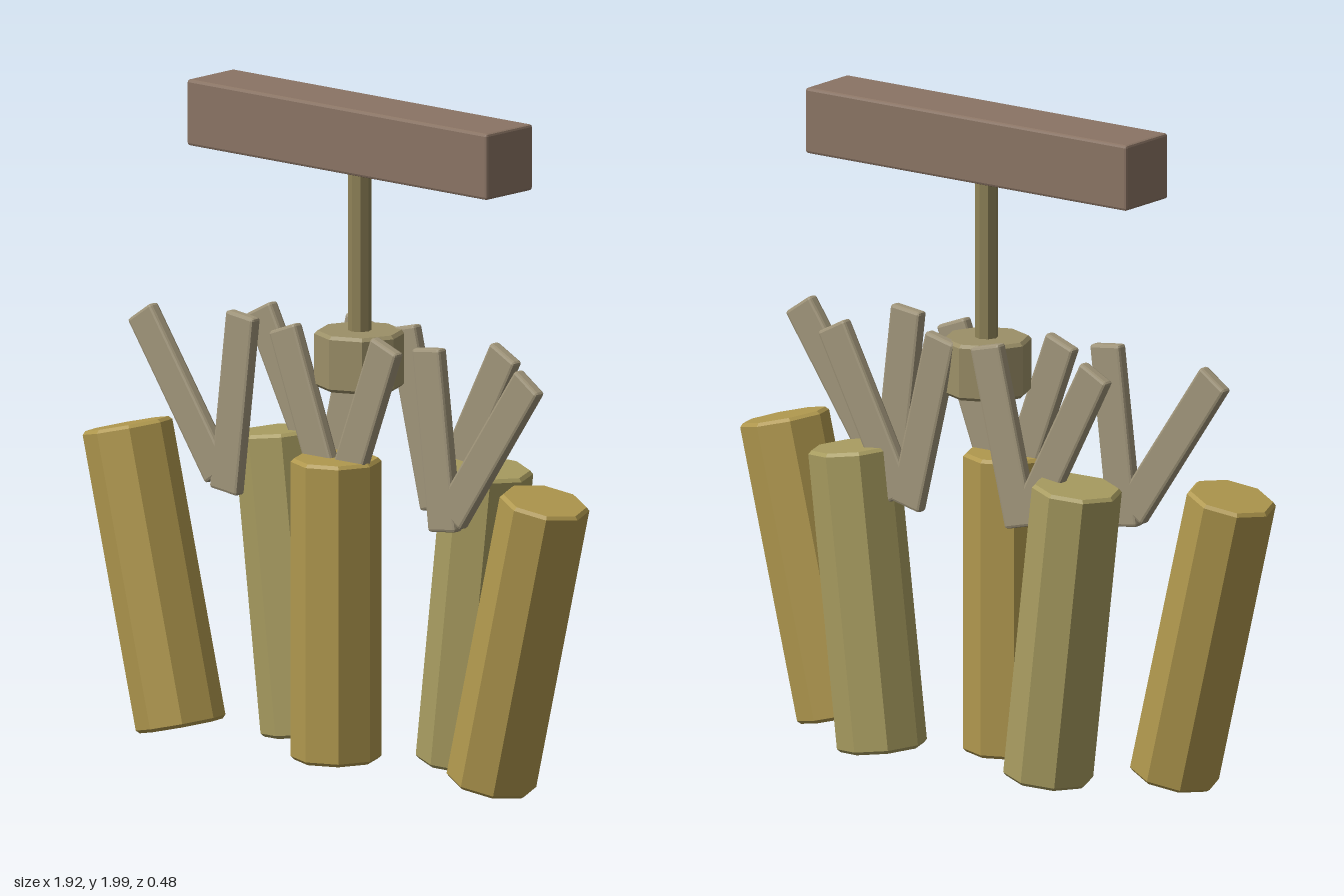
import * as THREE from 'three';
import { RoundedBoxGeometry } from 'three/addons/geometries/RoundedBoxGeometry.js';

const material = (color) => new THREE.MeshStandardMaterial({ color, flatShading: true });

// Octagonal column with a small bevel at both rims, centred on its origin
function octagonColumn(radius, height, bevel) {
  const h = height / 2;
  const profile = [
    [0, -h], [radius - bevel, -h], [radius, -h + bevel],
    [radius, h - bevel], [radius - bevel, h], [0, h],
  ].map(([x, y]) => new THREE.Vector2(x, y));
  return new THREE.LatheGeometry(profile, 8);
}

export function createModel() {
  const model = new THREE.Group();
  const barMat = material(0x8a7464);
  const rodMat = material(0x8f8358);
  const hubMat = material(0x9c9068);
  const armMat = material(0xa0957a);
  const frontMat = material(0xb0984e);
  const backMat = material(0xa89c60);

  const add = (parent, name, geometry, mat, x, y, z, tilt = 0) => {
    const mesh = new THREE.Mesh(geometry, mat);
    mesh.name = name;
    mesh.position.set(x, y, z);
    mesh.rotation.z = tilt;
    parent.add(mesh);
  };

  // Top bar, hanging rod and hub
  add(model, 'topBar', new RoundedBoxGeometry(1.195, 0.2, 0.205, 1, 0.008), barMat, 0, 1.9, 0);
  add(model, 'rod', octagonColumn(0.035, 0.56, 0.004), rodMat, 0, 1.55, 0);
  add(model, 'hub', octagonColumn(0.135, 0.17, 0.01), hubMat, 0, 1.225, 0);

  // Five fanned columns, alternating front and back, each with a V of two arms
  const column = octagonColumn(0.135, 0.91, 0.01);
  const arm = new RoundedBoxGeometry(0.11, 0.55, 0.038, 1, 0.009);
  for (let i = -2; i <= 2; i++) {
    const front = i % 2 === 0;
    const z = front ? 0.105 : -0.105;
    const tilt = -0.12 * i;
    const unit = new THREE.Group();
    unit.name = front ? 'frontUnit' : 'backUnit';
    add(unit, 'column', column, front ? frontMat : backMat, 0.3625 * i, 0.484, z, tilt);
    for (const side of [-1, 1]) {
      add(unit, 'arm', arm, armMat, 0.255 * i + 0.107 * side, 1.05, z, tilt - 0.36 * side);
    }
    model.add(unit);
  }
  return model;
}
